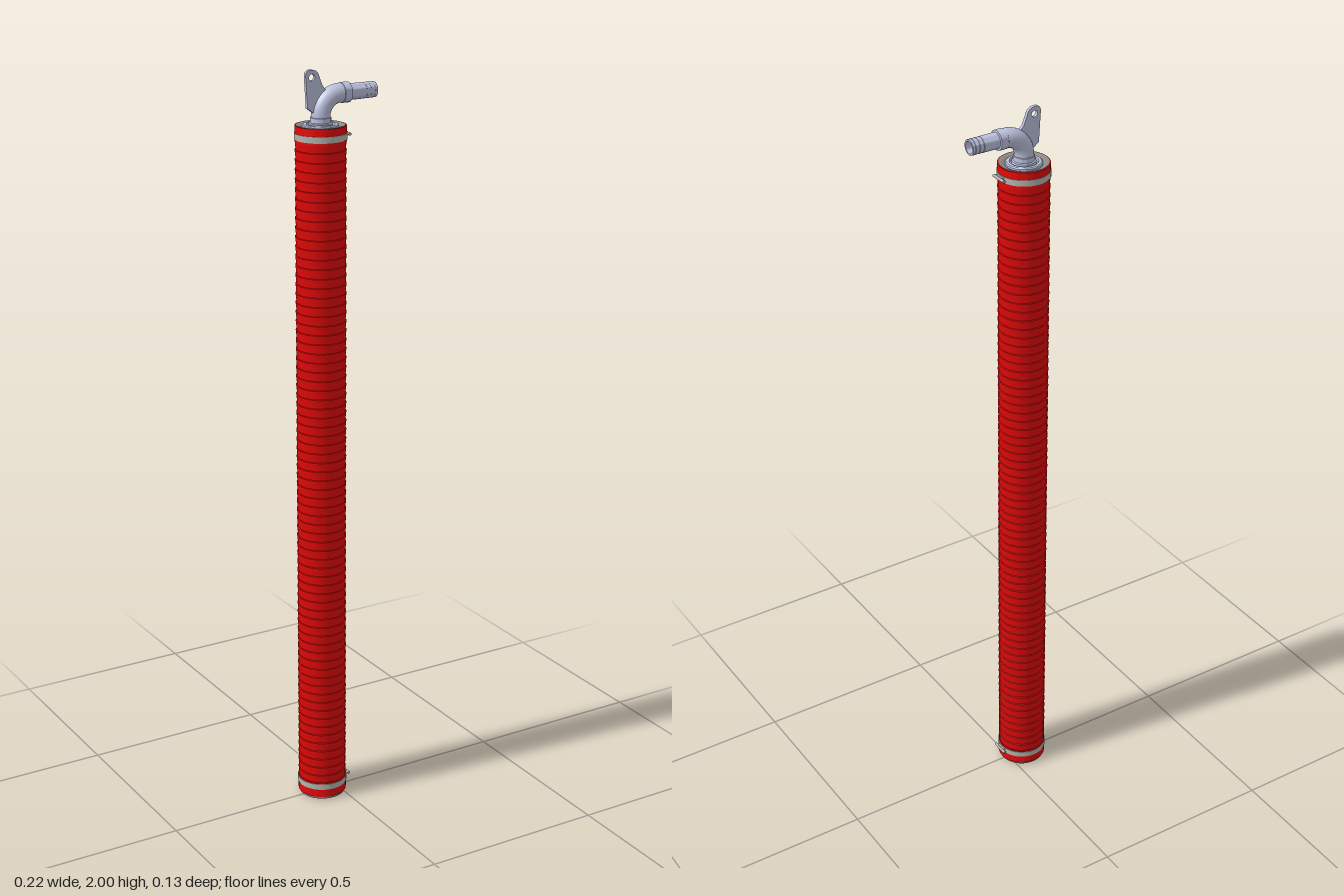
import * as THREE from 'three';
import { toCreasedNormals } from 'three/addons/utils/BufferGeometryUtils.js';

const material = (name, color, side = THREE.FrontSide) => {
  const m = new THREE.MeshStandardMaterial({ color, side });
  m.name = name;
  return m;
};

export function createModel() {
  const red = material('red hose', 0xe60909);
  const grey = material('grey cap', 0x8a8986);
  const steel = material('clamp steel', 0xb4b4ae);
  const dark = material('dark bore', 0x50505a);
  const alloy = material('pale alloy', 0xbcc2de, THREE.DoubleSide);

  const model = new THREE.Group();
  const AXIS = -0.045;
  const add = (name, geo, mat, x = 0, y = 0, z = 0, parent = model) => {
    const mesh = new THREE.Mesh(geo, mat);
    mesh.name = name;
    mesh.position.set(x, y, z);
    parent.add(mesh);
    return mesh;
  };
  const lathe = (points, segments = 48) => toCreasedNormals(
    new THREE.LatheGeometry(points.map(([r, y]) => new THREE.Vector2(r, y)), segments), 0.6);

  // Ribbed hose: walls flaring upwards, each ending in a narrow ledge
  const RIBS = 72, START = 0.05, END = 1.825;
  const pitch = (END - START) / RIBS;
  const ribs = [];
  for (let i = 0; i < RIBS; i++) {
    const y = START + i * pitch;
    ribs.push([0.0628, y], [0.0655, y + pitch - 0.0008]);
  }
  add('hoseRibs', lathe(ribs), red, AXIS);

  // Smooth cuffs at both ends
  const cuff = (y0, y1) => lathe([[0.06, y0], [0.0655, y0], [0.0655, y1], [0.06, y1]]);
  add('bottomCuff', cuff(0.009, 0.052), red, AXIS);
  add('topCuff', cuff(1.82, 1.861), red, AXIS);

  // Hose clamps with a worm screw on the left side
  for (const [name, y] of [['bottomClamp', 0.04], ['topClamp', 1.834]]) {
    const clamp = new THREE.Group();
    clamp.name = name;
    clamp.position.set(AXIS, y, 0);
    model.add(clamp);
    add('clampBand', lathe([[0.064, -0.008], [0.067, -0.008], [0.067, 0.008], [0.064, 0.008]]),
      steel, 0, 0, 0, clamp);
    add('clampHousing', new THREE.BoxGeometry(0.008, 0.011, 0.026), steel, 0.068, 0, 0, clamp);
    add('clampScrew', new THREE.CylinderGeometry(0.004, 0.004, 0.046, 16).rotateX(Math.PI / 2),
      steel, 0.072, 0, 0, clamp);
  }

  // End caps with dished faces
  add('bottomCap', lathe([[0.03, 0.012], [0.044, 0.006], [0.057, 0], [0.0615, 0.002], [0.0625, 0.012]]),
    grey, AXIS);
  add('bottomOutlet', lathe([[0, 0.016], [0.017, 0.014], [0.031, 0.008], [0.033, 0.014]]), alloy, AXIS);
  add('topCap', lathe([[0.0625, 1.85], [0.0625, 1.862], [0.057, 1.8615], [0.051, 1.859], [0.044, 1.855],
    [0, 1.855]]), grey, AXIS);

  // Swivel flange under the elbow
  add('swivelFlange', lathe([[0.046, 1.852], [0.046, 1.861], [0.043, 1.8635], [0.036, 1.864],
    [0.035, 1.857], [0.031, 1.857], [0.03, 1.866], [0.0265, 1.868], [0.0265, 1.88], [0.02, 1.882]]),
  alloy, AXIS);

  // Elbow bending from the hose towards the left
  const AIM = 1.936;
  const bend = new THREE.CurvePath();
  bend.add(new THREE.LineCurve3(new THREE.Vector3(AXIS, 1.865, 0), new THREE.Vector3(AXIS, 1.882, 0)));
  const k = 0.054 * 0.5523;
  bend.add(new THREE.CubicBezierCurve3(new THREE.Vector3(AXIS, 1.882, 0),
    new THREE.Vector3(AXIS, 1.882 + k, 0), new THREE.Vector3(0.009 - k, AIM, 0),
    new THREE.Vector3(0.009, AIM, 0)));
  bend.add(new THREE.LineCurve3(new THREE.Vector3(0.009, AIM, 0), new THREE.Vector3(0.02, AIM, 0)));
  add('elbow', new THREE.TubeGeometry(bend, 40, 0.0245, 32), alloy);

  // Collar and barbed spigot, turned along +x, with an open bore
  const spigot = lathe([[0.0245, 0.013], [0.0258, 0.014], [0.0258, 0.034], [0.0205, 0.035],
    [0.0205, 0.079], [0.0197, 0.08], [0.0205, 0.091], [0.0197, 0.092],
    [0.0205, 0.103], [0.0197, 0.104], [0.02, 0.111], [0.0155, 0.111], [0.0155, 0.04]], 32);
  add('spigot', spigot.rotateZ(-Math.PI / 2), alloy, 0, AIM, 0);
  add('boreEnd', new THREE.CircleGeometry(0.0156, 24).rotateY(Math.PI / 2), dark, 0.045, AIM, 0);

  // Hanging lug: thin plate with an eye
  const plate = new THREE.Shape();
  plate.moveTo(-0.062, 1.888);
  plate.lineTo(-0.085, 1.905);
  plate.lineTo(-0.09, 1.985);
  plate.quadraticCurveTo(-0.09, 2, -0.075, 2);
  plate.quadraticCurveTo(-0.056, 2, -0.052, 1.985);
  plate.lineTo(-0.041, 1.957);
  plate.lineTo(-0.026, 1.942);
  plate.lineTo(-0.026, 1.915);
  plate.closePath();
  plate.holes.push(new THREE.Path().absarc(-0.072, 1.981, 0.0085, 0, Math.PI * 2, true));
  add('hangingLug', new THREE.ExtrudeGeometry(plate, { depth: 0.009, bevelEnabled: false, curveSegments: 16 }),
    alloy, 0, 0, -0.0045);

  return model;
}
